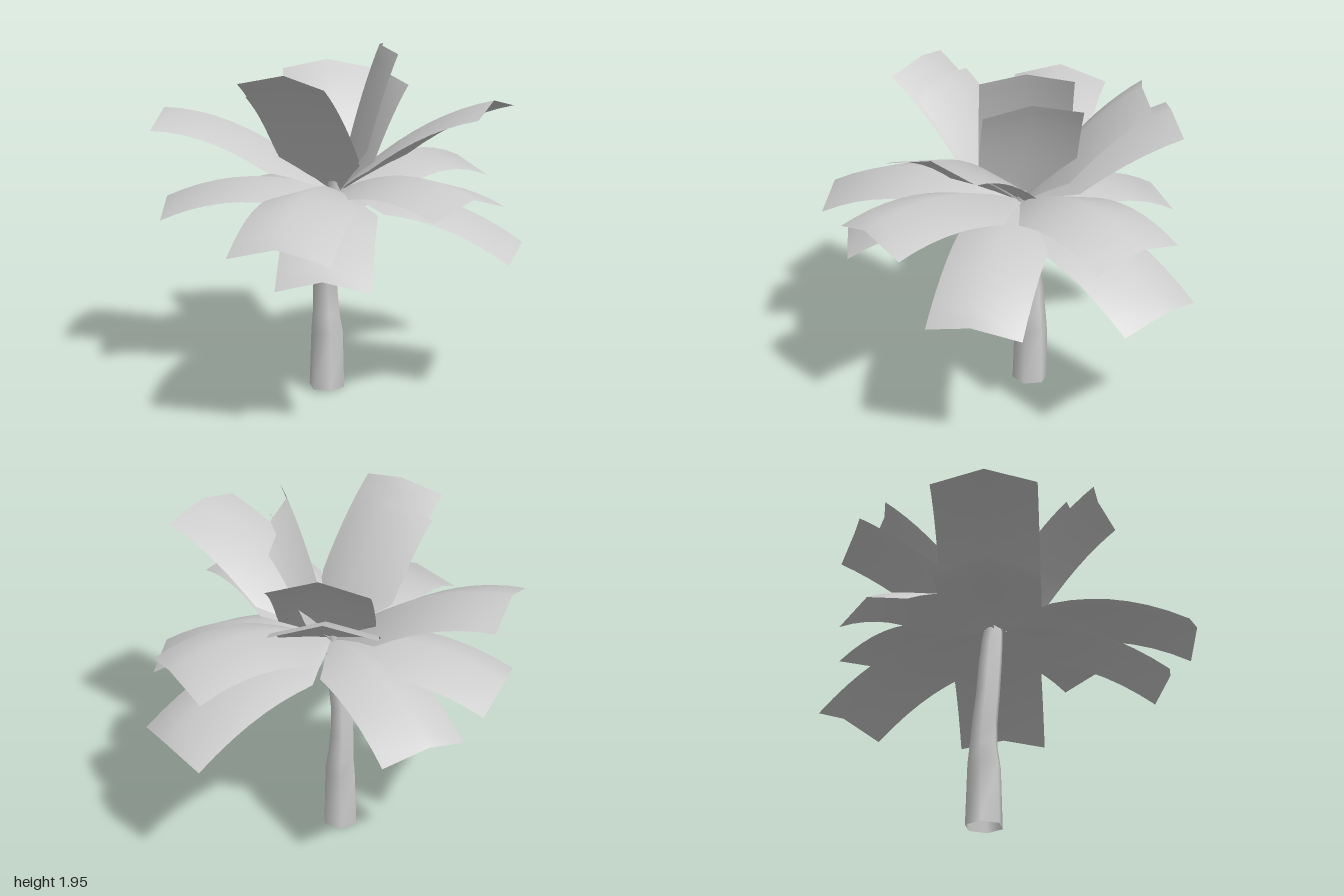
import * as THREE from 'three';
import { mergeVertices } from 'three/addons/utils/BufferGeometryUtils.js';

const CROWN = new THREE.Vector3(0, 1.14, -0.08);
const UP = new THREE.Vector3(0, 1, 0);

// Frond tips: x, y, z, height of the arch control point, half width
const FRONDS = [
  // upright fronds
  [0.23, 1.945, -0.06, 1.66, 0.24],
  [0.27, 1.79, -0.083, 1.56, 0.26],
  [0.08, 1.785, -0.7, 1.6, 0.255],
  [0.06, 1.64, -0.87, 1.5, 0.265],
  [0.7, 1.71, 0.48, 1.6, 0.26],
  [-0.38, 1.86, 0.4, 1.64, 0.245],
  [-0.32, 1.77, 0.28, 1.58, 0.25],
  [-0.89, 1.58, -0.46, 1.58, 0.27],
  // spreading fronds
  [-0.89, 1.08, -0.45, 1.31, 0.27],
  [0.83, 1.22, -0.55, 1.43, 0.275],
  [0.5, 1.27, 0.8, 1.42, 0.26],
  [-0.52, 1.1, 0.9, 1.4, 0.265],
  // drooping fronds
  [0.87, 0.88, -0.68, 1.25, 0.265],
  [0.93, 0.91, 0.33, 1.26, 0.25],
  [-0.28, 0.91, 0.85, 1.25, 0.24],
  [-0.46, 0.98, -0.92, 1.28, 0.24],
];

// Arched strip, folded along its midrib, opening from a narrow stem to full width
function frondGeometry([x, y, z, archY, halfWidth]) {
  const tip = new THREE.Vector3(x, y, z);
  const control = CROWN.clone().lerp(tip, 0.5).setY(archY);
  const midrib = new THREE.QuadraticBezierCurve3(CROWN, control, tip);
  const across = tip.clone().sub(CROWN).cross(UP).normalize();
  const fold = y < 1.6 ? 0.085 : 0.065;
  const positions = [], index = [], steps = 10;
  for (let i = 0; i <= steps; i++) {
    const t = i / steps;
    const width = Math.min(1, 0.06 + t * 3.1);
    const under = midrib.getTangent(t).cross(across);
    for (const side of [-1, 0, 1]) {
      const p = midrib.getPoint(t)
        .addScaledVector(across, side * halfWidth * width)
        .addScaledVector(under, Math.abs(side) * fold * width);
      positions.push(p.x, p.y, p.z);
    }
    if (i === steps) break;
    for (let j = 0; j < 2; j++) {
      const p = i * 3 + j;
      index.push(p, p + 1, p + 3, p + 1, p + 4, p + 3);
    }
  }
  const g = new THREE.BufferGeometry();
  g.setAttribute('position', new THREE.Float32BufferAttribute(positions, 3));
  g.setIndex(index);
  g.computeVertexNormals();
  return g;
}

// Trunk rings from top to bottom: height, centre x, centre z, radius
const RINGS = [
  [1.21, -0.012, -0.075, 0.045],
  [1.08, -0.015, -0.09, 0.06],
  [0.92, -0.033, -0.108, 0.066],
  [0.75, -0.05, -0.125, 0.067],
  [0.58, -0.053, -0.143, 0.071],
  [0.44, -0.047, -0.147, 0.078],
  [0.33, -0.043, -0.142, 0.093],
  [0, -0.045, -0.142, 0.103],
];

// Open hexagonal tube, smooth all the way round
function trunkGeometry() {
  const segments = RINGS.length - 1;
  const tube = new THREE.CylinderGeometry(1, 1, segments, 6, segments, true);
  const pos = tube.attributes.position;
  for (let i = 0; i < pos.count; i++) {
    const [y, x, z, r] = RINGS[Math.round(segments / 2 - pos.getY(i))];
    pos.setXYZ(i, x + pos.getX(i) * r, y, z + pos.getZ(i) * r);
  }
  tube.deleteAttribute('uv');
  tube.deleteAttribute('normal');
  const g = mergeVertices(tube);
  g.computeVertexNormals();
  return g;
}

export function createModel() {
  const model = new THREE.Group();
  model.name = 'palmTree';
  const grey = new THREE.MeshStandardMaterial({ color: 0xcccccc, side: THREE.DoubleSide });
  grey.name = 'light grey';

  const trunk = new THREE.Mesh(trunkGeometry(), grey);
  trunk.name = 'trunk';
  model.add(trunk);

  const crown = new THREE.Group();
  crown.name = 'crown';
  for (const spec of FRONDS) {
    const frond = new THREE.Mesh(frondGeometry(spec), grey);
    frond.name = 'frond';
    crown.add(frond);
  }
  model.add(crown);
  return model;
}
